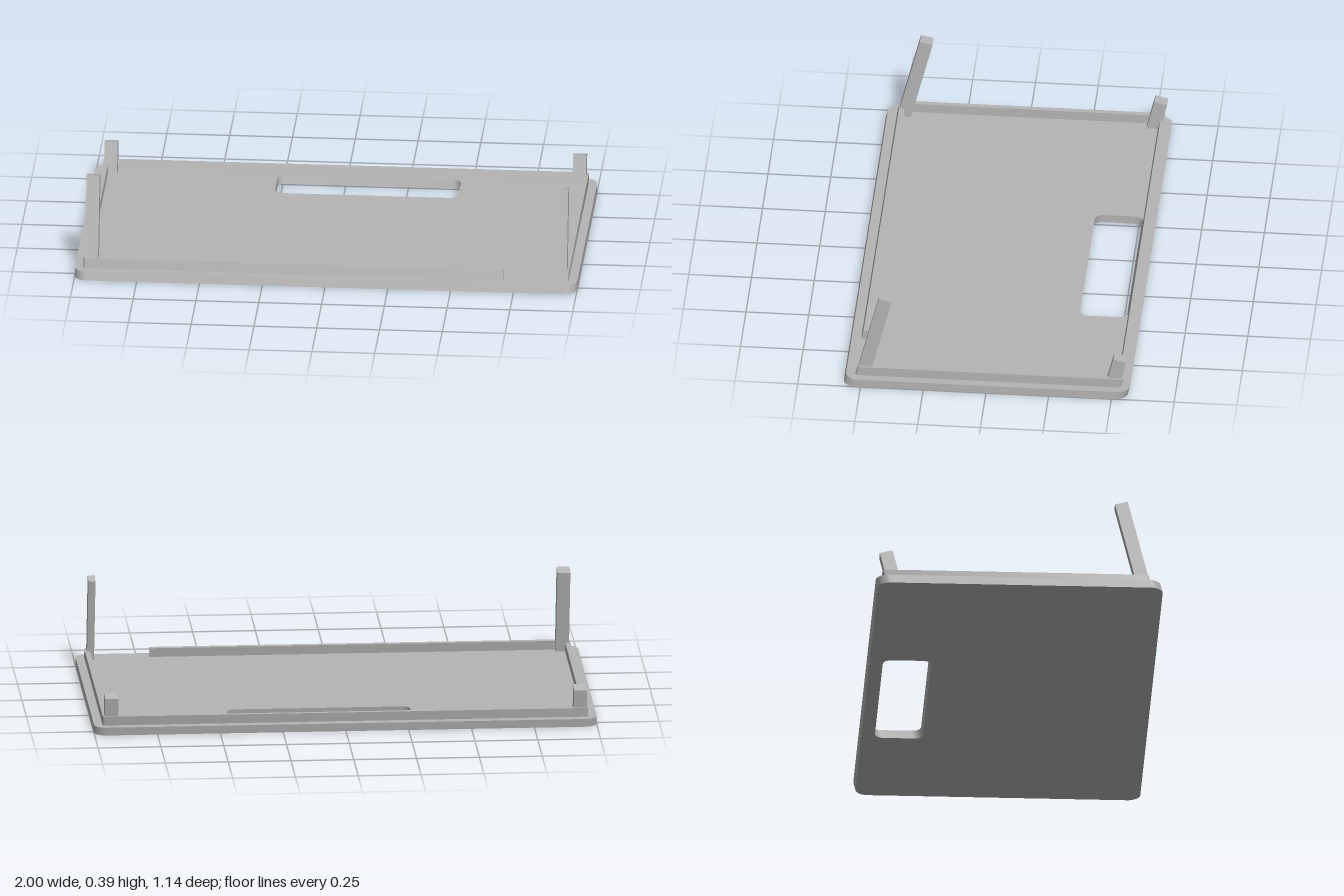
import * as THREE from 'three';
import { toCreasedNormals } from 'three/addons/utils/BufferGeometryUtils.js';

const LEAN = 0.25; // backward drift in z per unit of height
const BASE_H = 0.034;
const RAIL_H = 0.072;

// Rounded rectangle in plan; plan y is -z
function roundedRect(path, x0, x1, z0, z1, r) {
  const y0 = -z1, y1 = -z0;
  path.absarc(x1 - r, y0 + r, r, -Math.PI / 2, 0);
  path.absarc(x1 - r, y1 - r, r, 0, Math.PI / 2);
  path.absarc(x0 + r, y1 - r, r, Math.PI / 2, Math.PI);
  path.absarc(x0 + r, y0 + r, r, Math.PI, Math.PI * 1.5);
  path.closePath();
  return path;
}

// Extrude a plan shape upward between two heights, leaning backward
function leaningExtrude(shape, y0, y1) {
  const geo = new THREE.ExtrudeGeometry(shape, { depth: y1 - y0, bevelEnabled: false, curveSegments: 8 });
  geo.rotateX(-Math.PI / 2).translate(0, y0, 0);
  const p = geo.attributes.position;
  for (let i = 0; i < p.count; i++) p.setZ(i, p.getZ(i) - LEAN * p.getY(i));
  return toCreasedNormals(geo, 0.6);
}

export function createModel() {
  const group = new THREE.Group();
  const grey = new THREE.MeshStandardMaterial({ color: 0xb4b4b4 });
  grey.name = 'grey';
  const add = (name, geo) => {
    const mesh = new THREE.Mesh(geo, grey);
    mesh.name = name;
    group.add(mesh);
  };

  // Base plate with a slot near the back
  const plate = roundedRect(new THREE.Shape(), -1, 1, -0.562, 0.57, 0.05);
  plate.holes.push(roundedRect(new THREE.Path(), -0.27, 0.46, -0.509, -0.317, 0.035));
  add('basePlate', leaningExtrude(plate, 0, BASE_H));

  // Raised rim, open at the front right
  const out = 0.966, inn = 0.945, front = 0.532, frontIn = 0.509, back = -0.526, backIn = -0.509, r = 0.012;
  const rim = new THREE.Shape();
  rim.moveTo(0.705, -frontIn);
  rim.lineTo(-inn, -frontIn);
  rim.lineTo(-inn, -backIn);
  rim.lineTo(inn, -backIn);
  rim.lineTo(inn, -front);
  rim.lineTo(out - r, -front);
  rim.quadraticCurveTo(out, -front, out, -front + r);
  rim.lineTo(out, -back - r);
  rim.quadraticCurveTo(out, -back, out - r, -back);
  rim.lineTo(-out + r, -back);
  rim.quadraticCurveTo(-out, -back, -out, -back - r);
  rim.lineTo(-out, -front + r);
  rim.quadraticCurveTo(-out, -front, -out + r, -front);
  rim.lineTo(0.705, -front);
  rim.closePath();
  add('rim', leaningExtrude(rim, BASE_H - 0.002, RAIL_H));

  // Leaning corner posts with tops cut square to the lean
  const addPost = (name, x0, x1, zFront, zBack, top) => {
    const y0 = BASE_H - 0.004;
    const z = (base, y) => base - LEAN * y;
    const topBack = top - (zFront - zBack) * 0.235;
    const s = new THREE.Shape();
    s.moveTo(-z(zFront, y0), y0);
    s.lineTo(-z(zBack, y0), y0);
    s.lineTo(-z(zBack, topBack), topBack);
    s.lineTo(-z(zFront, top), top);
    s.closePath();
    const geo = new THREE.ExtrudeGeometry(s, { depth: x1 - x0, bevelEnabled: false });
    geo.rotateY(Math.PI / 2).translate(x0, 0, 0);
    add(name, geo);
  };
  addPost('frontRightPost', -0.96, -0.908, 0.529, 0.475, 0.393);
  addPost('frontLeftPost', 0.93, 0.958, 0.529, 0.475, 0.393);
  addPost('backRightPost', -0.96, -0.908, -0.464, -0.518, 0.16);
  addPost('backLeftPost', 0.905, 0.958, -0.464, -0.518, 0.16);

  return group;
}
